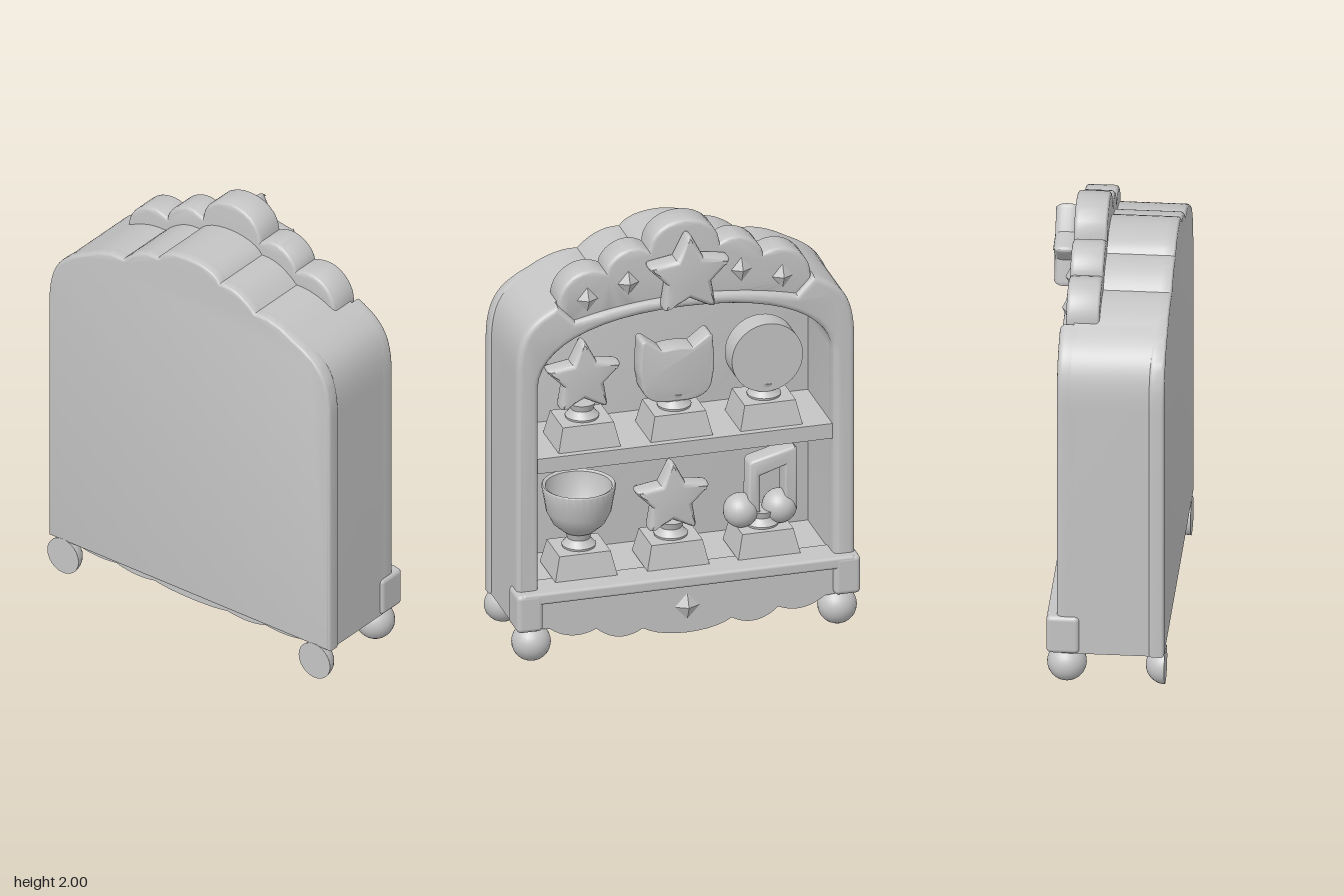
import * as THREE from 'three';
import { toCreasedNormals } from 'three/addons/utils/BufferGeometryUtils.js';
import { RoundedBoxGeometry } from 'three/addons/geometries/RoundedBoxGeometry.js';

const grey = new THREE.MeshStandardMaterial({ color: 0xc4c4c4 });
grey.name = 'plain grey';

function add(parent, name, geo, x = 0, y = 0, z = 0) {
  const m = new THREE.Mesh(geo, grey);
  m.name = name;
  m.position.set(x, y, z);
  parent.add(m);
  return m;
}

// Extruded shape between depths z0 and z1 with a rounded rim kept inside the outline
function slab(shape, z0, z1, bevel = 0, bevelDepth = bevel) {
  const g = new THREE.ExtrudeGeometry(shape, {
    depth: z1 - z0 - 2 * bevelDepth, curveSegments: 12, bevelEnabled: bevel > 0,
    bevelThickness: bevelDepth, bevelSize: bevel, bevelOffset: -bevel, bevelSegments: 4,
  });
  g.translate(0, 0, z0 + bevelDepth);
  return toCreasedNormals(g, 0.7);
}

// Arched opening of the cabinet
function opening() {
  const p = new THREE.Path();
  p.moveTo(-0.665, 0.33);
  p.lineTo(0.665, 0.33);
  p.lineTo(0.665, 1.3);
  p.bezierCurveTo(0.655, 1.46, 0.45, 1.595, 0, 1.595);
  p.bezierCurveTo(-0.45, 1.595, -0.655, 1.46, -0.665, 1.3);
  p.closePath();
  return p;
}

// Outer outline: softly scalloped top for the carcass, low arch for the front frame
function outline(w, low) {
  const s = new THREE.Shape();
  s.moveTo(-w, 0.16);
  s.lineTo(w, 0.16);
  s.lineTo(w, 1.35);
  s.bezierCurveTo(w, 1.56, 0.7, 1.61, 0.577, 1.67);
  if (low) {
    s.lineTo(0.5, 1.59);
    s.quadraticCurveTo(0.26, 1.65, 0, 1.65);
    s.quadraticCurveTo(-0.26, 1.65, -0.5, 1.59);
    s.lineTo(-0.577, 1.67);
  } else {
    s.quadraticCurveTo(0.46, 1.74, 0.36, 1.73);
    s.quadraticCurveTo(0.27, 1.82, 0.17, 1.81);
    s.bezierCurveTo(0.12, 1.892, -0.12, 1.892, -0.17, 1.81);
    s.quadraticCurveTo(-0.27, 1.82, -0.36, 1.73);
    s.quadraticCurveTo(-0.46, 1.74, -0.577, 1.67);
  }
  s.bezierCurveTo(-0.7, 1.61, -w, 1.56, -w, 1.35);
  s.closePath();
  return s;
}

// Scalloped crown over the arch
function crownShape() {
  const s = new THREE.Shape();
  s.moveTo(-0.57, 1.56);
  s.quadraticCurveTo(-0.3, 1.62, 0, 1.62);
  s.quadraticCurveTo(0.3, 1.62, 0.57, 1.56);
  s.lineTo(0.57, 1.67);
  s.bezierCurveTo(0.57, 1.76, 0.47, 1.85, 0.355, 1.795);
  s.bezierCurveTo(0.35, 1.85, 0.25, 1.93, 0.16, 1.87);
  s.bezierCurveTo(0.15, 2.043, -0.15, 2.043, -0.16, 1.87);
  s.bezierCurveTo(-0.25, 1.93, -0.35, 1.85, -0.355, 1.795);
  s.bezierCurveTo(-0.47, 1.85, -0.57, 1.76, -0.57, 1.67);
  s.closePath();
  return s;
}

// Scalloped skirt that rises toward the back
function skirtGeometry() {
  const s = new THREE.Shape();
  s.moveTo(0.67, 0.3);
  s.lineTo(-0.67, 0.3);
  s.lineTo(-0.67, 0.16);
  s.lineTo(-0.62, 0.155);
  s.quadraticCurveTo(-0.52, 0.08, -0.41, 0.13);
  s.quadraticCurveTo(-0.31, 0.04, -0.2, 0.105);
  s.bezierCurveTo(-0.11, 0.045, 0.11, 0.045, 0.2, 0.105);
  s.quadraticCurveTo(0.31, 0.04, 0.41, 0.13);
  s.quadraticCurveTo(0.52, 0.08, 0.62, 0.155);
  s.lineTo(0.67, 0.16);
  s.closePath();
  const g = new THREE.ExtrudeGeometry(s, { depth: 0.46, bevelEnabled: false, curveSegments: 10 });
  g.translate(0, 0, -0.25);
  const p = g.attributes.position;
  for (let i = 0; i < p.count; i++) {
    if (p.getY(i) < 0.16 && p.getZ(i) < 0) p.setY(i, 0.16 - (0.16 - p.getY(i)) * 0.35);
  }
  return toCreasedNormals(g, 0.5);
}

// Plump five-pointed star with rounded tips
function starGeometry(r, thick) {
  const pts = [];
  for (let i = 0; i < 10; i++) {
    const a = Math.PI / 2 + i * Math.PI / 5, q = i % 2 ? r * 0.56 : r * 1.1;
    pts.push(new THREE.Vector2(Math.cos(a) * q, Math.sin(a) * q));
  }
  const s = new THREE.Shape();
  for (let i = 0; i < 10; i += 2) {
    const inner = pts[(i + 9) % 10], tip = pts[i], next = pts[i + 1];
    const a = inner.clone().lerp(tip, 0.7), b = next.clone().lerp(tip, 0.7);
    if (i === 0) s.moveTo(inner.x, inner.y);
    s.lineTo(a.x, a.y);
    s.quadraticCurveTo(tip.x, tip.y, b.x, b.y);
    if (i < 8) s.lineTo(next.x, next.y);
  }
  s.closePath();
  return slab(s, -thick / 2, thick / 2, 0.026, thick * 0.4);
}

function diamond(parent, x, y, w, h, z) {
  const g = new THREE.ConeGeometry(1, 0.03, 4).toNonIndexed();
  g.rotateX(Math.PI / 2);
  g.computeVertexNormals();
  add(parent, 'diamondStud', g, x, y, z + 0.015).scale.set(w, h, 1);
}

function lathe(points, seg = 32) {
  return toCreasedNormals(new THREE.LatheGeometry(points.map(([x, y]) => new THREE.Vector2(x, y)), seg), 0.7);
}

// Tapered square plinth with a stepped round collar
function trophy(parent, name, x, y) {
  const t = new THREE.Group();
  t.name = name;
  t.position.set(x, y, 0.025);
  parent.add(t);
  const base = new THREE.CylinderGeometry(0.115 * Math.SQRT2, 0.14 * Math.SQRT2, 0.11, 4).toNonIndexed();
  base.rotateY(Math.PI / 4);
  base.computeVertexNormals();
  add(t, 'plinth', base, 0, 0.055, 0).scale.z = 0.85;
  add(t, 'collar', lathe([[0, 0.1], [0.07, 0.1], [0.075, 0.12], [0.06, 0.135], [0.05, 0.15], [0.06, 0.18], [0, 0.18]], 24));
  return t;
}

function catShape() {
  const s = new THREE.Shape();
  s.moveTo(0, 0.15);
  s.bezierCurveTo(0.1, 0.14, 0.16, 0.17, 0.16, 0.25);
  s.bezierCurveTo(0.175, 0.3, 0.165, 0.35, 0.16, 0.44);
  s.quadraticCurveTo(0.15, 0.455, 0.135, 0.445);
  s.lineTo(0.07, 0.395);
  s.quadraticCurveTo(0, 0.41, -0.07, 0.395);
  s.lineTo(-0.135, 0.445);
  s.quadraticCurveTo(-0.15, 0.455, -0.16, 0.44);
  s.bezierCurveTo(-0.165, 0.35, -0.175, 0.3, -0.16, 0.25);
  s.bezierCurveTo(-0.16, 0.17, -0.1, 0.14, 0, 0.15);
  return s;
}

export function createModel() {
  const model = new THREE.Group();
  model.name = 'trophyCabinet';
  const c = new THREE.Group();
  c.name = 'cabinet';
  c.rotation.y = Math.PI / 2; // the cabinet opens toward +x
  model.add(c);

  // Carcass, back and front frame
  const shell = outline(0.762);
  shell.holes.push(opening());
  add(c, 'carcass', slab(shell, -0.22, 0.14));
  add(c, 'backPanel', slab(outline(0.772), -0.268, -0.2, 0.015));
  const ring = outline(0.762, true);
  ring.holes.push(opening());
  add(c, 'frontFrame', slab(ring, 0.1, 0.2, 0.025));
  add(c, 'crown', slab(crownShape(), 0.03, 0.175, 0.018));
  add(c, 'crownStar', starGeometry(0.19, 0.105), 0, 1.765, 0.212);
  add(c, 'skirt', skirtGeometry());
  add(c, 'bottomRail', new RoundedBoxGeometry(1.5, 0.055, 0.16, 3, 0.014), 0, 0.313, 0.163);
  add(c, 'shelf', new THREE.BoxGeometry(1.34, 0.07, 0.38), 0, 0.915, -0.015);

  // Corner blocks, ball feet and diamond studs on both sides
  for (const s of [-1, 1]) {
    add(c, 'cornerBlock', new RoundedBoxGeometry(0.118, 0.18, 0.145, 3, 0.022), s * 0.716, 0.25, 0.172);
    add(c, 'frontFoot', new THREE.SphereGeometry(0.086, 24, 16), s * 0.69, 0.086, 0.16);
    add(c, 'backFoot', new THREE.SphereGeometry(0.086, 16, 16, 0, Math.PI), s * 0.69, 0.086, -0.268);
    add(c, 'backFootCap', new THREE.CircleGeometry(0.086, 24).rotateY(Math.PI), s * 0.69, 0.086, -0.268);
    diamond(c, s * 0.44, 1.68, 0.052, 0.062, 0.172);
    diamond(c, s * 0.255, 1.735, 0.052, 0.062, 0.172);
  }
  diamond(c, 0, 0.185, 0.06, 0.065, 0.208);

  // Upper row
  add(trophy(c, 'starTrophy', -0.42, 0.95), 'star', starGeometry(0.172, 0.1), 0, 0.3, 0);
  add(trophy(c, 'catTrophy', -0.005, 0.95), 'catHead', slab(catShape(), -0.055, 0.055, 0.012));
  const disc = new THREE.CylinderGeometry(0.16, 0.16, 0.11, 40).rotateX(Math.PI / 2);
  add(trophy(c, 'discTrophy', 0.4, 0.95), 'disc', disc, 0, 0.305, 0);

  // Lower row
  add(trophy(c, 'cupTrophy', -0.435, 0.34), 'cup', lathe([
    [0, 0.16], [0.035, 0.17], [0.07, 0.185], [0.115, 0.225], [0.142, 0.28], [0.152, 0.34], [0.162, 0.395],
    [0.158, 0.402], [0.145, 0.395], [0.132, 0.3], [0.09, 0.235], [0, 0.205],
  ]));
  add(trophy(c, 'smallStarTrophy', -0.02, 0.34), 'star', starGeometry(0.172, 0.1), 0, 0.285, 0);
  const note = trophy(c, 'noteTrophy', 0.39, 0.34);
  for (const x of [-0.095, 0.08]) {
    add(note, 'noteHead', new THREE.SphereGeometry(0.077, 24, 16), x, 0.183, 0);
  }
  const bar = new THREE.Shape([[-0.072, 0.18], [-0.018, 0.18], [-0.018, 0.352], [0.092, 0.388], [0.092, 0.18],
    [0.15, 0.18], [0.15, 0.46], [0.136, 0.475], [-0.055, 0.425], [-0.068, 0.41]].map(([x, y]) => new THREE.Vector2(x, y)));
  add(note, 'noteStems', slab(bar, -0.05, 0.05, 0.016));
  return model;
}
